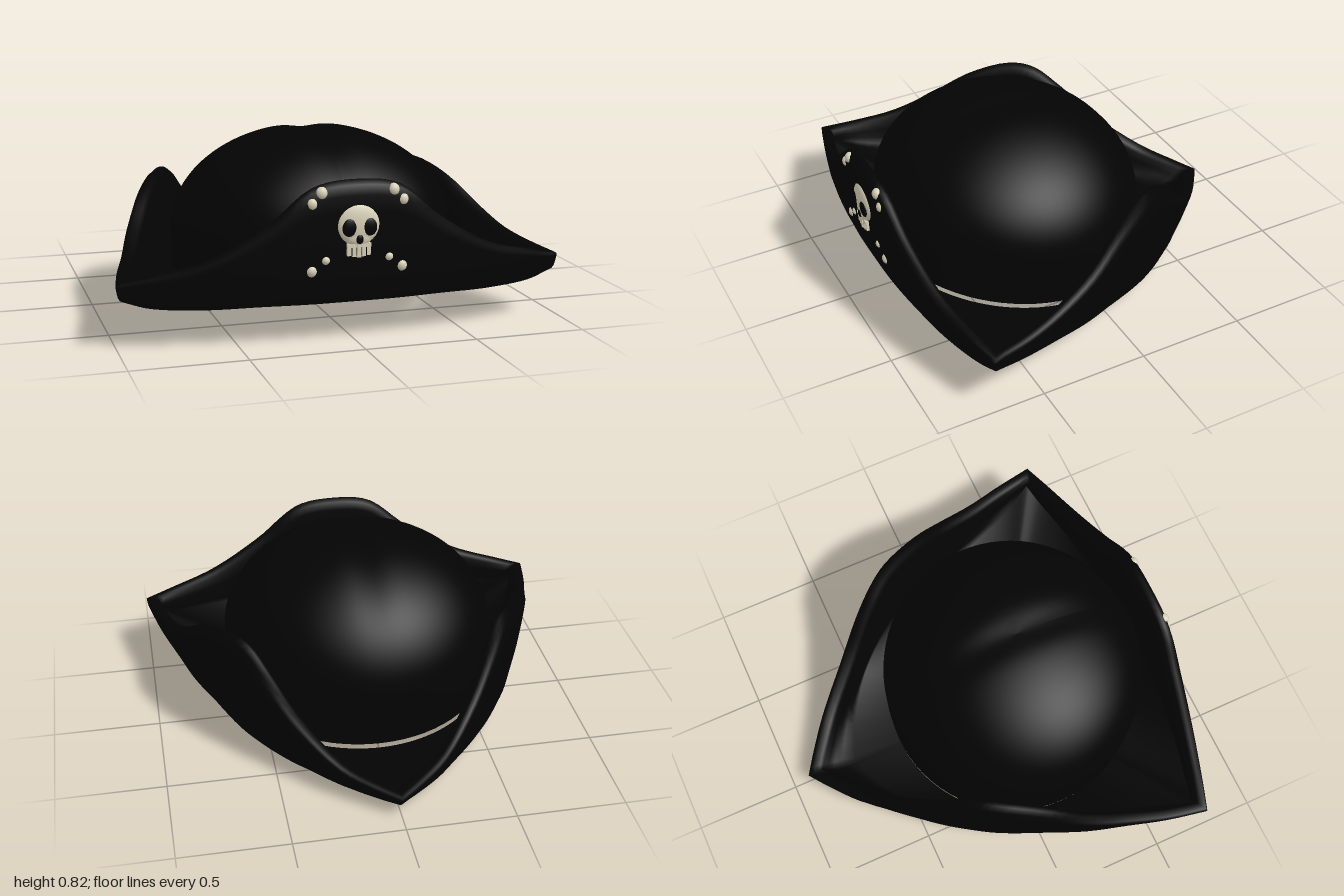
import * as THREE from 'three';

const felt = new THREE.MeshStandardMaterial({ color: 0x030303, side: THREE.DoubleSide });
felt.name = 'black felt';
const bone = new THREE.MeshStandardMaterial({ color: 0xd8d0b8 });
bone.name = 'bone';

const CENTER_Z = 0.17;
const vec = (p) => new THREE.Vector3(...p);
const mirror = (p) => [-p[0], p[1], p[2]];
const floorY = (z) => 0.07 + 0.11 * z;

// Rim crest and brim base, from front middle to left corner, then to back tip
const crestFront = [[0, 0.70, 0.896], [0.2, 0.672, 0.892], [0.4, 0.52, 0.872], [0.65, 0.38, 0.828], [0.88, 0.318, 0.767], [1, 0.29, 0.73]];
const baseFront = [[0, 0.165, 0.84], [0.2, 0.165, 0.837], [0.4, 0.165, 0.818], [0.65, 0.16, 0.778], [0.85, 0.17, 0.73], [0.95, 0.2, 0.705]];
const crestSide = [[1, 0.29, 0.73], [0.965, 0.305, 0.55], [0.915, 0.34, 0.37], [0.86, 0.42, 0.18], [0.785, 0.53, 0], [0.685, 0.592, -0.2],
  [0.61, 0.575, -0.31], [0.53, 0.475, -0.42], [0.42, 0.322, -0.55], [0.24, 0.17, -0.74], [0.1, 0.126, -0.85], [0, 0.105, -0.92]];
const baseSide = [[0.95, 0.2, 0.705], [0.86, 0.15, 0.55], [0.80, 0.12, 0.37], [0.74, 0.09, 0.18], [0.68, 0.072, 0], [0.60, 0.055, -0.2],
  [0.54, 0.048, -0.31], [0.46, 0.038, -0.41], [0.36, 0.026, -0.5], [0.2, 0.012, -0.59], [0.09, 0.004, -0.63], [0, 0, -0.65]];

// Closed loop: right side, front, left side; each a separate curve so corners stay pointed
function loop(front, side) {
  const right = side.map(mirror).reverse();
  const whole = [...front.slice(1).map(mirror).reverse(), ...front];
  return [[right, 44], [whole, 48], [side, 44]].flatMap(([pts, n]) => {
    const curve = new THREE.CatmullRomCurve3(pts.map(vec));
    return Array.from({ length: n }, (_, i) => curve.getPoint(i / n));
  });
}

// Upturned brim: [outward fraction, upward fraction, inset, floor thickness]
const section = [
  [0, 0, 0, 0], [0.35, 0.03, 0, 0], [0.62, 0.12, 0, 0], [0.8, 0.29, 0, 0], [0.91, 0.53, 0, 0], [0.98, 0.76, 0, 0],
  [1, 0.88, 0, 0], [1, 0.96, 0.01, 0], [1, 1, 0.033, 0], [1, 0.97, 0.056, 0], [0.98, 0.9, 0.069, 0],
  [0.9, 0.68, 0.073, 0], [0.76, 0.4, 0.066, 0.02], [0.55, 0.15, 0.054, 0.03], [0.2, 0.02, 0.03, 0.03],
];

function brimGeometry() {
  const crest = loop(crestFront, crestSide), base = loop(baseFront, baseSide);
  const positions = [], index = [], n = crest.length, m = section.length + 2;
  for (let i = 0; i < n; i++) {
    const b = base[i], c = crest[i];
    const inward = new THREE.Vector3(-c.x, 0, CENTER_Z - c.z).normalize();
    for (const [out, up, inset, thick] of section) {
      positions.push(
        b.x + (c.x - b.x) * out + inward.x * inset,
        b.y + (c.y - b.y) * up + thick * (1 - up),
        b.z + (c.z - b.z) * out + inward.z * inset);
    }
    // Edge of the head opening
    const a = Math.atan2(b.z - CENTER_Z, b.x);
    const hx = 0.63 * Math.cos(a), hz = CENTER_Z + 0.605 * Math.sin(a), hy = floorY(hz);
    positions.push(hx, hy + 0.012, hz, hx, hy, hz);
  }
  for (let i = 0; i < n; i++) for (let j = 0; j < m; j++) {
    const i2 = (i + 1) % n, j2 = (j + 1) % m;
    const p = i * m + j, q = i2 * m + j, r = i2 * m + j2, s = i * m + j2;
    index.push(p, q, r, p, r, s);
  }
  const g = new THREE.BufferGeometry();
  g.setAttribute('position', new THREE.Float32BufferAttribute(positions, 3));
  g.setIndex(index);
  g.computeVertexNormals();
  return g;
}

// Crown: upright wall under a dome, creased along the top, its tilted edge just clear of the brim
function crownGeometry() {
  const wall = 0.35, steps = 28;
  const profile = [new THREE.Vector2(0.985, 0), new THREE.Vector2(0.996, wall / 2)];
  for (let i = 0; i <= steps; i++) {
    const a = (i / steps) * Math.PI / 2;
    profile.push(new THREE.Vector2(i === steps ? 0 : Math.cos(a), wall + (1 - wall) * Math.sin(a)));
  }
  const g = new THREE.LatheGeometry(profile, 72);
  const pos = g.attributes.position;
  for (let i = 0; i < pos.count; i++) {
    const h = pos.getY(i), x = pos.getX(i) * 0.645, z = pos.getZ(i) * 0.617 + CENTER_Z;
    const crease = 0.018 * Math.exp(-((x / 0.08) ** 2)) * h ** 4;
    const low = floorY(z) + 0.038;
    // The dome leans slightly forward
    pos.setXYZ(i, x, low + (0.832 - low) * h - crease, z + 0.02 * h * h);
  }
  g.computeVertexNormals();
  return g;
}

function add(parent, name, geometry, material) {
  const mesh = new THREE.Mesh(geometry, material);
  mesh.name = name;
  parent.add(mesh);
  return mesh;
}

function ellipsoid(parent, name, material, at, radii) {
  const mesh = add(parent, name, new THREE.SphereGeometry(1, 24, 16), material);
  mesh.position.set(...at);
  mesh.scale.set(...radii);
  return mesh;
}

function skullEmblem() {
  const g = new THREE.Group();
  g.name = 'skullEmblem';
  ellipsoid(g, 'cranium', bone, [0, 0.51, 0.886], [0.094, 0.09, 0.029]);
  ellipsoid(g, 'cheeks', bone, [0, 0.457, 0.886], [0.062, 0.042, 0.026]);
  ellipsoid(g, 'nose', felt, [0, 0.452, 0.908], [0.017, 0.021, 0.009]);
  for (const s of [-1, 1]) {
    ellipsoid(g, 'eyeSocket', felt, [s * 0.043, 0.503, 0.907], [0.033, 0.039, 0.011]).rotation.z = s * 0.25;
    // Knobs at the ends of the crossed bones
    ellipsoid(g, 'upperInnerKnob', bone, [s * 0.158, 0.65, 0.878], [0.025, 0.027, 0.023]);
    ellipsoid(g, 'upperOuterKnob', bone, [s * 0.2, 0.607, 0.879], [0.024, 0.026, 0.022]);
    ellipsoid(g, 'lowerInnerKnob', bone, [s * 0.14, 0.363, 0.878], [0.019, 0.019, 0.018]);
    ellipsoid(g, 'lowerOuterKnob', bone, [s * 0.2, 0.319, 0.871], [0.024, 0.026, 0.022]);
  }
  // Dark gum behind a row of teeth
  const gum = add(g, 'gum', new THREE.BoxGeometry(0.1, 0.045, 0.03), felt);
  gum.position.set(0, 0.402, 0.883);
  for (let i = -2; i <= 2; i++) {
    const h = 0.054 - 0.004 * Math.abs(i);
    const tooth = add(g, 'tooth', new THREE.BoxGeometry(0.016, h, 0.035), bone);
    tooth.position.set(i * 0.0215, 0.426 - h / 2, 0.888 - 0.002 * Math.abs(i));
  }
  const jaw = add(g, 'upperJaw', new THREE.BoxGeometry(0.104, 0.016, 0.035), bone);
  jaw.position.set(0, 0.424, 0.887);
  return g;
}

export function createModel() {
  const hat = new THREE.Group();
  hat.name = 'tricornHat';
  add(hat, 'brim', brimGeometry(), felt);
  add(hat, 'crown', crownGeometry(), felt);
  hat.add(skullEmblem());
  return hat;
}
